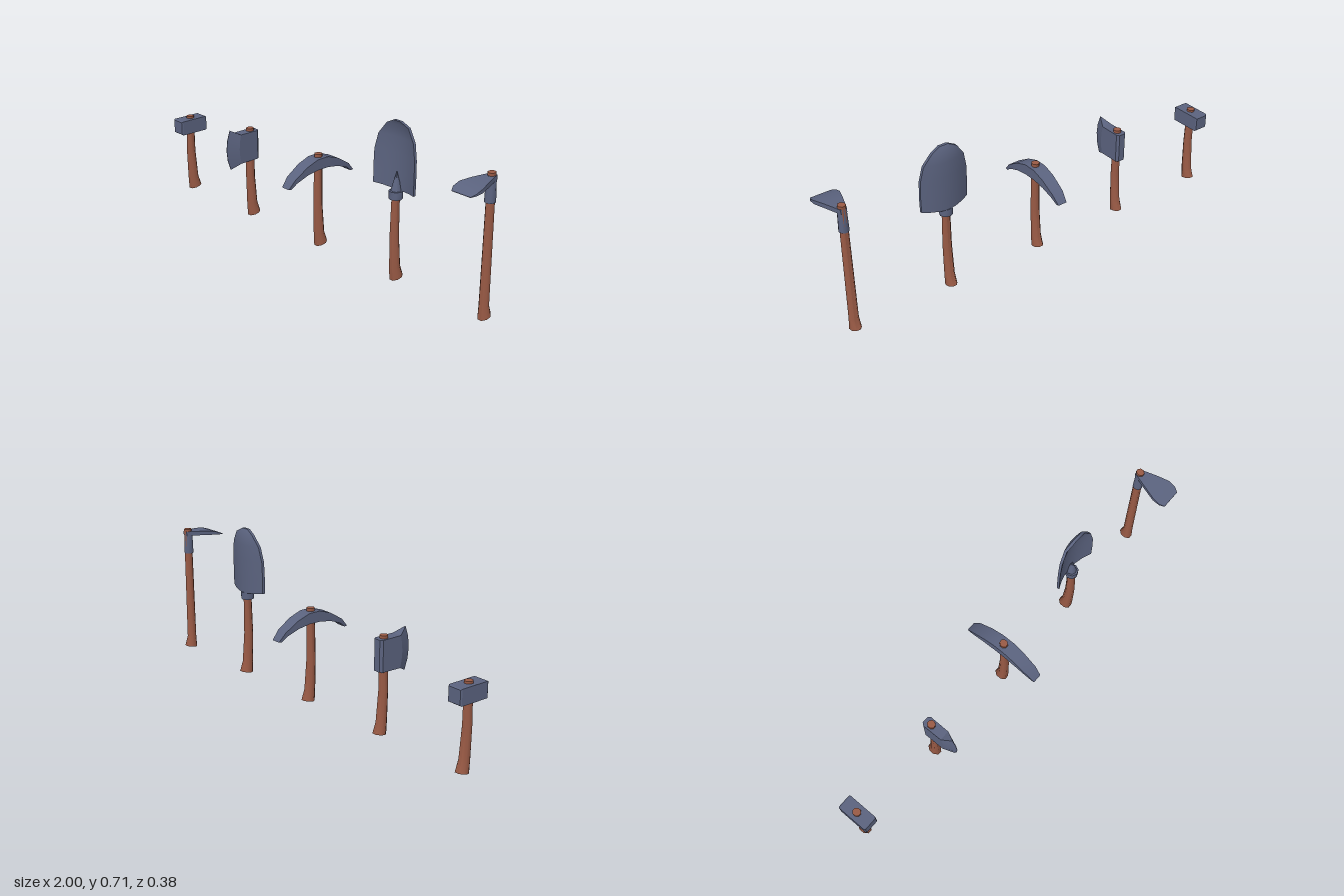
import * as THREE from 'three';
import { toCreasedNormals } from 'three/addons/utils/BufferGeometryUtils.js';

const steel = new THREE.MeshStandardMaterial({ color: 0x5b637f });
steel.name = 'blue grey steel';
const wood = new THREE.MeshStandardMaterial({ color: 0x995a45 });
wood.name = 'red brown wood';

// Closed skin over equal-sized rings of [x, y, z], capped at both ends
function loft(rings, crease = 0.6) {
  const n = rings[0].length;
  const pts = rings.flat();
  const idx = [];
  const quad = (a, b, c, d) => idx.push(a, b, c, a, c, d);
  for (let r = 0; r < rings.length - 1; r++) {
    for (let i = 0; i < n; i++) {
      const a = r * n + i, b = r * n + (i + 1) % n;
      quad(a, b, b + n, a + n);
    }
  }
  const last = (rings.length - 1) * n;
  for (let i = 0; i < n / 2 - 1; i++) {
    const j = n - 1 - i;
    quad(i, j, j - 1, i + 1);
    quad(last + i, last + i + 1, last + j - 1, last + j);
  }
  // Turn the faces outward if the enclosed volume comes out negative
  let volume = 0;
  const [p, q, s] = [0, 1, 2].map(() => new THREE.Vector3());
  for (let t = 0; t < idx.length; t += 3) {
    p.fromArray(pts[idx[t]]);
    q.fromArray(pts[idx[t + 1]]);
    s.fromArray(pts[idx[t + 2]]);
    volume += p.dot(q.cross(s));
  }
  if (volume < 0) idx.reverse();
  const geo = new THREE.BufferGeometry();
  geo.setAttribute('position', new THREE.Float32BufferAttribute(pts.flat(), 3));
  geo.setIndex(idx);
  return toCreasedNormals(geo, crease);
}

// Rectangular section across z: half width, top and bottom
const slab = ([z, w, top, bottom, zBottom = z]) =>
  [[-w, top, z], [w, top, z], [w, bottom, zBottom], [-w, bottom, zBottom]];

function part(group, name, geometry, material = steel) {
  const mesh = new THREE.Mesh(geometry, material);
  mesh.name = name;
  group.add(mesh);
  return mesh;
}

// Eight-sided wooden handle, flared and cut at a slant at the foot
function addHandle(group, height, straight = false) {
  const rows = straight
    ? [[0, -0.017, 0.024, 0.03, 0.013], [0.06, -0.011, 0.02, 0.021, 0], [height, -0.014, 0.016, 0.018, 0]]
    : [[0, -0.014, 0.024, 0.031, 0.013], [0.06, -0.004, 0.021, 0.025, 0],
      [0.2, 0.003, 0.019, 0.021, 0], [height, 0, 0.017, 0.018, 0]];
  const rings = rows.map(([y, cz, rx, rz, slant]) => Array.from({ length: 8 }, (_, i) => {
    const a = (i + 0.5) * Math.PI / 4;
    return [rx * 1.05 * Math.cos(a), y + slant * (1 - Math.sin(a)) / 2, cz + rz * 1.05 * Math.sin(a)];
  }));
  part(group, 'handle', loft(rings, 0.95), wood);
}

function hammer(g) {
  addHandle(g, 0.385);
  const sections = [[-0.075, 0.031], [-0.069, 0.035], [0.069, 0.035], [0.075, 0.031]];
  part(g, 'hammerHead', loft(sections.map(([z, h]) => slab([z, h, 0.34 + h, 0.34 - h])), 0.3));
}

function axe(g) {
  addHandle(g, 0.44);
  // z, half width, top, bottom, forward bulge of the cutting edge
  const sections = [
    [-0.036, 0.016, 0.427, 0.288, 0], [-0.024, 0.025, 0.427, 0.287, 0],
    [0.073, 0.024, 0.427, 0.285, 0.01], [0.12, 0.001, 0.453, 0.26, 0.021],
  ];
  const rows = [-1, -0.5, 0, 0.5, 1];
  part(g, 'axeHead', loft(sections.map(([z, w, top, bottom, bulge]) => {
    const side = (s) => rows.map((v) =>
      [s * w, (top + bottom) / 2 + v * (top - bottom) / 2, z + bulge * (1 - v * v)]);
    return [...side(1), ...side(-1).reverse()];
  }), 0.35));
}

function pickaxe(g) {
  addHandle(g, 0.44);
  // Half of the arched head, mirrored for the other arm
  const half = [
    [0.03, 0.032, 0.426, 0.377, 0.03], [0.09, 0.031, 0.405, 0.367, 0.09],
    [0.158, 0.028, 0.363, 0.345, 0.148], [0.192, 0.022, 0.324, 0.321, 0.178],
  ];
  const mirrored = half.map(([z, w, t, b, zb]) => [-z, w, t, b, -zb]).reverse();
  part(g, 'pickHead', loft([...mirrored, ...half].map(slab), 0.5));
}

function shovel(g) {
  addHandle(g, 0.395);
  // Dished blade rows: height, half width, depth at the middle, corner rise
  const rows = [
    [0.402, 0.114, -0.012, 0.014], [0.48, 0.115, -0.013, 0.004], [0.565, 0.113, -0.014, 0],
    [0.635, 0.098, -0.013, 0], [0.688, 0.06, -0.008, 0], [0.708, 0.02, 0.004, 0],
  ];
  const across = [-1, -0.67, -0.33, 0, 0.33, 0.67, 1];
  part(g, 'shovelBlade', loft(rows.map(([y, w, z, rise]) => {
    const face = (back) => across.map((u) =>
      [u * w, y + rise * Math.abs(u), z + 0.031 * (u * w / 0.115) ** 2 - back]);
    return [...face(0), ...face(0.013).reverse()];
  }), 0.7));
  // Socket collar and the spike reinforcing the blade
  part(g, 'shovelCollar', toCreasedNormals(new THREE.CylinderGeometry(0.03, 0.03, 0.035, 8), 0.9))
    .position.set(0, 0.388, 0);
  part(g, 'shovelSpike', toCreasedNormals(new THREE.CylinderGeometry(0.002, 0.024, 0.085, 8), 0.9))
    .position.set(0, 0.445, -0.002);
}

function hoe(g) {
  addHandle(g, 0.62, true);
  part(g, 'hoeSocket', toCreasedNormals(new THREE.CylinderGeometry(0.02, 0.023, 0.11, 8), 0.9))
    .position.set(0, 0.553, -0.012);
  const blade = [
    [-0.03, 0.014, 0.608, 0.588], [0, 0.024, 0.608, 0.587], [0.055, 0.042, 0.605, 0.585],
    [0.105, 0.057, 0.599, 0.582], [0.14, 0.057, 0.588, 0.579], [0.162, 0.046, 0.578, 0.576],
  ];
  part(g, 'hoeBlade', loft(blade.map(slab), 0.5));
}

export function createModel() {
  const model = new THREE.Group();
  model.name = 'toolSet';
  const tools = [
    ['hammer', hammer, -0.965], ['axe', axe, -0.49], ['pickaxe', pickaxe, -0.014],
    ['shovel', shovel, 0.46], ['hoe', hoe, 0.94],
  ];
  for (const [name, build, x] of tools) {
    const tool = new THREE.Group();
    tool.name = name;
    tool.position.x = x;
    build(tool);
    model.add(tool);
  }
  return model;
}
